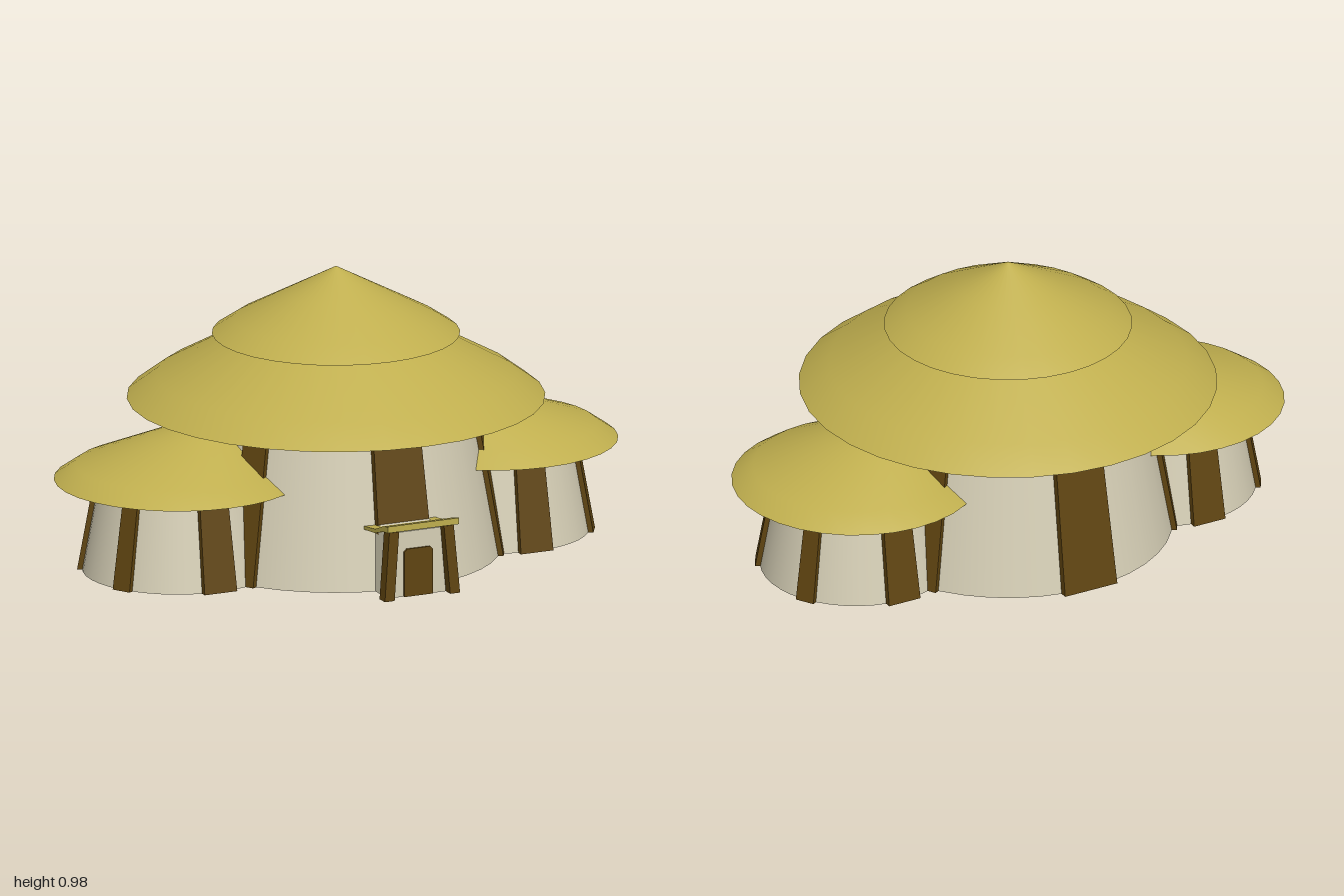
import * as THREE from 'three';

const thatch = new THREE.MeshStandardMaterial({ name: 'thatch', color: 0xbfae4e, side: THREE.DoubleSide });
const plaster = new THREE.MeshStandardMaterial({ name: 'plaster', color: 0xd6cfb6, side: THREE.DoubleSide });
const timber = new THREE.MeshStandardMaterial({ name: 'timber', color: 0x5f4410 });

function add(group, name, geometry, material) {
  const mesh = new THREE.Mesh(geometry, material);
  mesh.name = name;
  group.add(mesh);
  return mesh;
}

// Moves every vertex of a geometry by a rule
function bend(geometry, rule) {
  const p = geometry.attributes.position;
  const v = new THREE.Vector3();
  for (let i = 0; i < p.count; i++) {
    rule(v.fromBufferAttribute(p, i));
    p.setXYZ(i, v.x, v.y, v.z);
  }
  geometry.computeVertexNormals();
  return geometry;
}

// Conical roof with a steeper skirt at the eave
function roofGeometry(points) {
  return new THREE.LatheGeometry(points.map(([r, y]) => new THREE.Vector2(r, y)), 32);
}

// Tapered round wall with six timbers; those at the front and back are wider
function roundHouse(name, radius, slope, height, wide, narrow) {
  const group = new THREE.Group();
  group.name = name;
  const topRadius = radius - slope * height;
  const wall = new THREE.CylinderGeometry(topRadius, radius, height, 40, 1, true);
  add(group, 'wall', wall.translate(0, height / 2, 0), plaster);
  for (let i = 0; i < 6; i++) {
    const width = i % 3 === 0 ? wide : narrow;
    const beam = bend(new THREE.BoxGeometry(width, height, 0.03), (v) => {
      v.y += height / 2;
      v.x *= 1 - 0.15 * v.y / height;
      v.z += radius - slope * v.y;
    });
    add(group, 'wallTimber', beam.rotateY(i * Math.PI / 3), timber);
  }
  return group;
}

export function createModel() {
  const model = new THREE.Group();
  model.name = 'thatchedHouse';

  // Central house with two stacked roofs
  const main = roundHouse('mainHouse', 0.55, 0.18, 0.6, 0.2, 0.105);
  add(main, 'lowerRoof', roofGeometry([[0.7, 0.53], [0.6, 0.605], [0.3, 0.77]]), thatch);
  add(main, 'upperRoof', roofGeometry([[0.415, 0.75], [0.34, 0.8], [0.17, 0.89], [0, 0.98]]), thatch);
  model.add(main);

  // Side huts, their roof peaks leaning towards the central house
  for (const side of [-1, 1]) {
    const hut = roundHouse('sideHut', 0.32, 0.18, 0.36, 0.12, 0.068);
    const roof = roofGeometry([[0.415, 0.315], [0.343, 0.365], [0.17, 0.45], [0, 0.535]]);
    roof.rotateY(-side * Math.PI / 2);
    bend(roof, (v) => { v.x -= side * 0.16 * Math.max(0, v.y - 0.365) / 0.17; });
    add(hut, 'hutRoof', roof, thatch);
    hut.position.x = side * 0.585;
    model.add(hut);
  }

  // Entrance porch
  const porch = new THREE.Group();
  porch.name = 'porch';
  const body = bend(new THREE.BoxGeometry(0.22, 0.225, 0.155), (v) => {
    v.y += 0.1125;
    v.x *= 1 - 0.7 * v.y;
    v.z += 0.5575;
  });
  add(porch, 'porchWall', body, plaster);
  for (const side of [-1, 1]) {
    const post = bend(new THREE.BoxGeometry(0.036, 0.235, 0.042), (v) => {
      v.y += 0.1175;
      v.x += side * (0.121 - 0.085 * v.y);
      v.z += 0.65 - 0.03 * v.y;
    });
    add(porch, 'porchPost', post, timber);
  }

  // Door with clipped upper corners
  const door = new THREE.Shape();
  door.moveTo(-0.053, 0);
  door.lineTo(0.053, 0);
  door.lineTo(0.053, 0.155);
  door.lineTo(0.043, 0.165);
  door.lineTo(-0.043, 0.165);
  door.lineTo(-0.053, 0.155);
  const doorGeometry = new THREE.ExtrudeGeometry(door, { depth: 0.008, bevelEnabled: false });
  add(porch, 'door', doorGeometry.translate(0, 0, 0.634), timber);

  // Porch roof: a gently curved sheet extruded across the doorway
  const sheet = new THREE.Shape();
  sheet.moveTo(-0.678, 0.24);
  sheet.lineTo(-0.64, 0.236);
  sheet.lineTo(-0.58, 0.216);
  sheet.lineTo(-0.485, 0.206);
  sheet.lineTo(-0.485, 0.217);
  sheet.lineTo(-0.58, 0.23);
  sheet.lineTo(-0.64, 0.254);
  sheet.lineTo(-0.678, 0.262);
  const sheetGeometry = new THREE.ExtrudeGeometry(sheet, { depth: 0.264, bevelEnabled: false });
  sheetGeometry.translate(0, 0, -0.132).rotateY(Math.PI / 2);
  add(porch, 'porchRoof', sheetGeometry, thatch);
  model.add(porch);

  return model;
}
